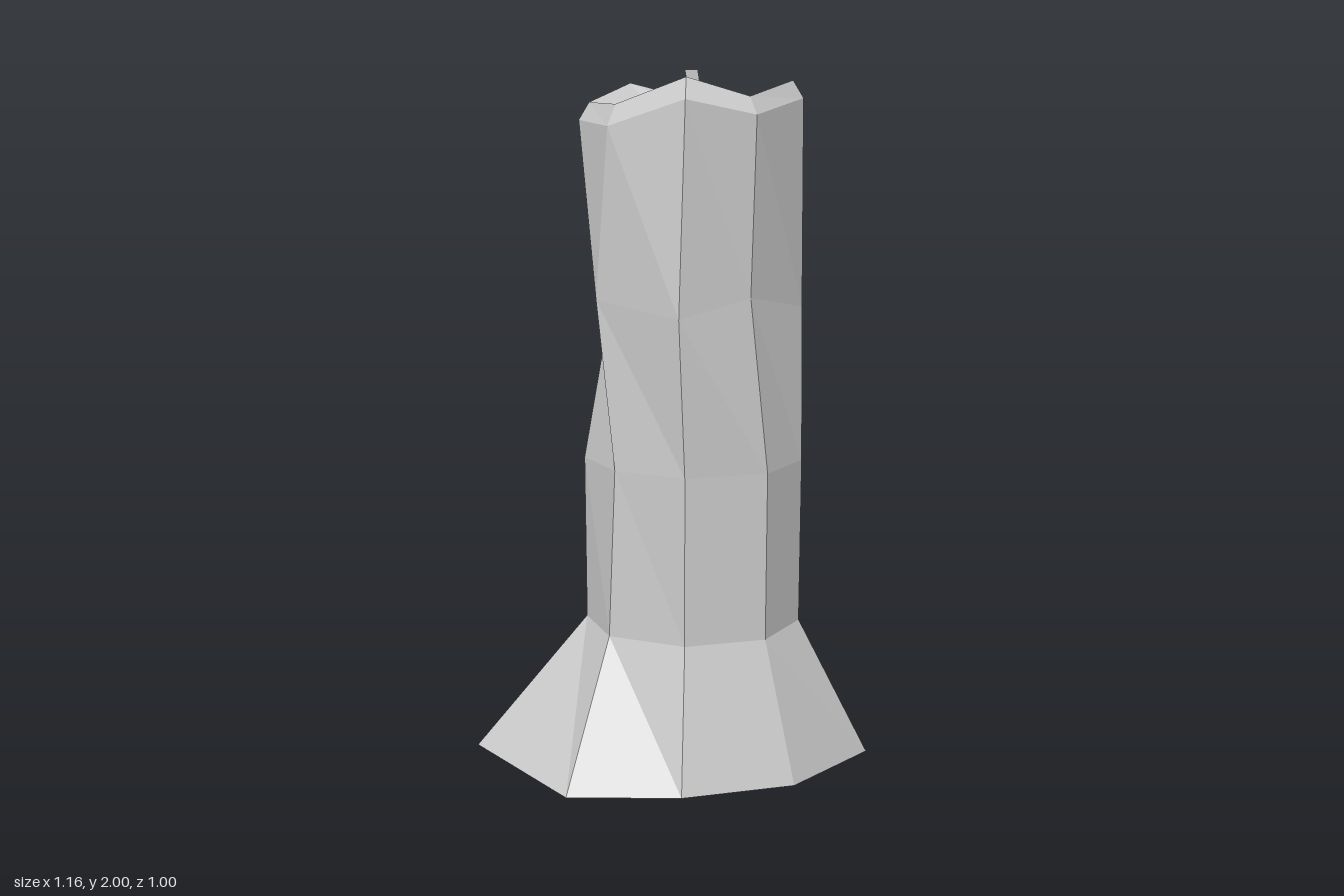
import * as THREE from 'three';

const SIDES = 8;
const CX = 0.06, CZ = 0.045; // axis of the candle

// Octagonal ring, starting at +x and turning towards +z.
// heights: one number or eight; moved: corners pushed off the regular octagon, as index: [x, z]
function ring(radius, heights, moved = {}) {
  return Array.from({ length: SIDES }, (_, i) => {
    const a = (i / SIDES) * Math.PI * 2;
    const [x, z] = moved[i] ?? [CX + radius * Math.cos(a), CZ + radius * Math.sin(a)];
    return new THREE.Vector3(x, Array.isArray(heights) ? heights[i] : heights, z);
  });
}

// Skin joining successive rings with flat facets
function loft(rings) {
  const pos = [];
  const tri = (a, b, c) => {
    const area = b.clone().sub(a).cross(c.clone().sub(a)).length();
    if (area > 1e-7) pos.push(...a.toArray(), ...b.toArray(), ...c.toArray());
  };
  for (let r = 0; r < rings.length - 1; r++) {
    const low = rings[r], up = rings[r + 1], n = low.length;
    for (let i = 0; i < n; i++) {
      const j = (i + 1) % n;
      tri(low[i], up[i], up[j]);
      tri(low[i], up[j], low[j]);
    }
  }
  const geo = new THREE.BufferGeometry();
  geo.setAttribute('position', new THREE.Float32BufferAttribute(pos, 3));
  geo.computeVertexNormals();
  return geo;
}

export function createModel() {
  const group = new THREE.Group();
  group.name = 'meltedCandle';
  const material = new THREE.MeshStandardMaterial({ color: 0xcccccc, flatShading: true });
  const add = (name, geo) => {
    const mesh = new THREE.Mesh(geo, material);
    mesh.name = name;
    group.add(mesh);
  };

  // Spilled wax foot, an uneven octagon on the ground
  const foot = ring(0, 0, [
    [0.58, 0.045], [0.37, 0.35], [0.06, 0.475], [-0.26, 0.495],
    [-0.585, 0.08], [-0.26, -0.33], [0.155, -0.5], [0.37, -0.26],
  ]);
  const neck = ring(0.315, 0.4);
  // Column with a sagging waist
  const lower = ring(0.319, 0.88, { 3: [-0.145, 0.265], 6: [0.06, -0.225] });
  const waist = ring(0.315, [1.33, 1.37, 1.32, 1.36, 1.42, 1.42, 1.36, 1.37], {
    1: [0.235, 0.26], 2: [0.045, 0.39], 3: [-0.2, 0.225], 4: [-0.165, 0.035],
    5: [-0.15, -0.15], 6: [0.08, -0.2], 7: [0.265, -0.15],
  });
  // Wavy bevelled rim
  const rimOuter = ring(0.313, [1.92, 1.87, 1.91, 1.84, 1.86, 1.91, 1.86, 1.86], {
    1: [0.25, 0.295], 2: [0.06, 0.36], 4: [-0.27, 0.035],
  });
  const rimInner = ring(0.283, [1.97, 1.92, 1.97, 1.9, 1.91, 1.97, 1.92, 1.925], {
    1: [0.23, 0.27], 4: [-0.24, 0.035],
  });
  // Shallow pool of wax around the wick
  const pool = ring(0.172, 1.88, { 1: [0.165, 0.18], 7: [0.2, -0.085] });

  add('waxFoot', loft([ring(0, 0), foot, neck]));
  add('waxColumn', loft([neck, lower, waist, rimOuter]));
  add('rim', loft([rimOuter, rimInner]));
  add('waxPool', loft([rimInner, pool, ring(0, 1.86)]));

  // Bent three-sided wick
  const wickSection = (x, y, z, r) => [0, 1, 2].map((i) => {
    const a = -Math.PI / 2 + (i * Math.PI * 2) / 3;
    return new THREE.Vector3(x + r * Math.cos(a), y, z + r * Math.sin(a));
  });
  add('wick', loft([
    wickSection(0.055, 1.85, 0.045, 0.021),
    wickSection(0.066, 1.93, 0.04, 0.021),
    wickSection(0.055, 2, 0.046, 0.021),
    wickSection(0.055, 2, 0.046, 0),
  ]));

  return group;
}
